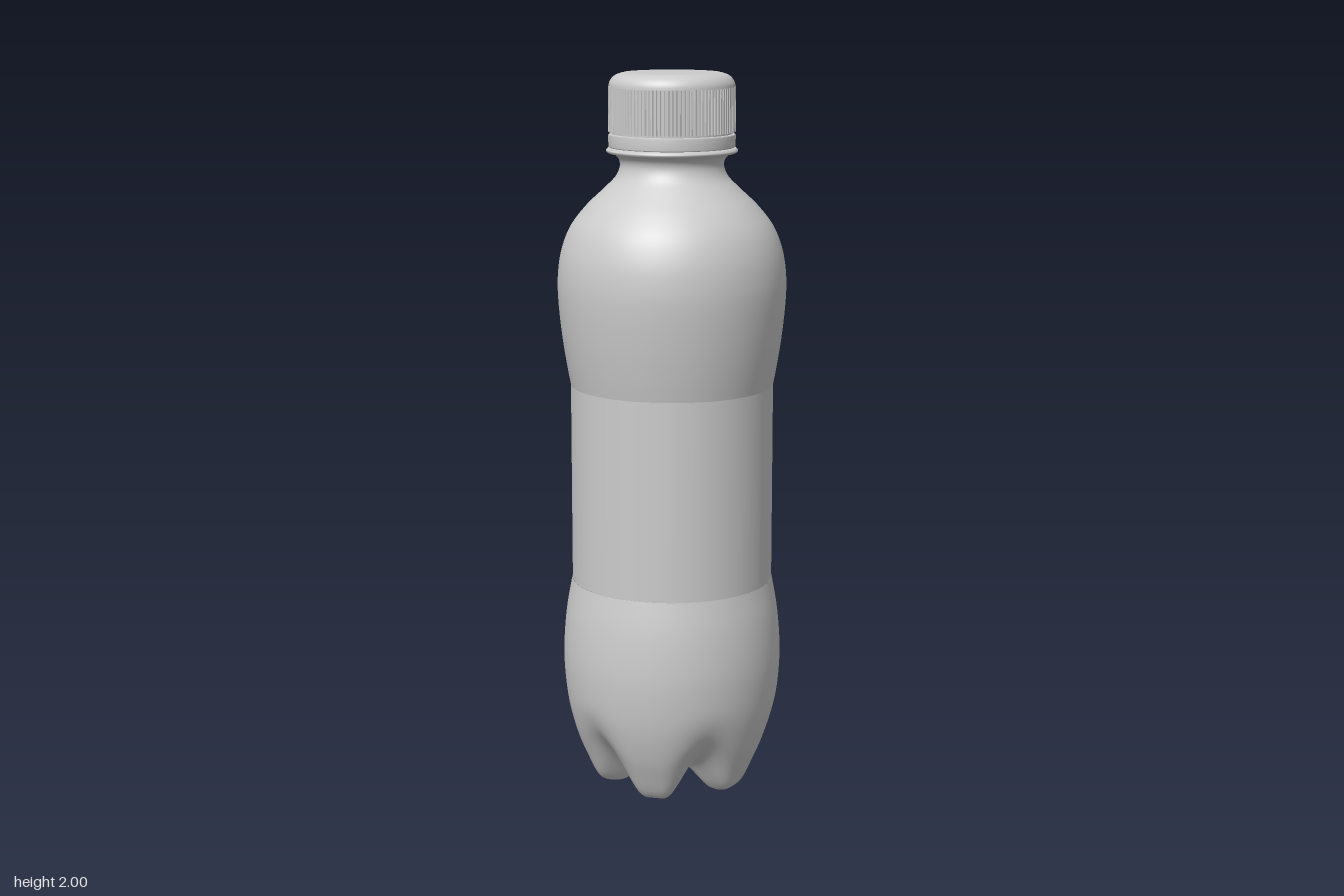
import * as THREE from 'three';
import { mergeVertices } from 'three/addons/utils/BufferGeometryUtils.js';

const SEGMENTS = 160;
const LOBES = 5;
const LOBE_TURN = THREE.MathUtils.degToRad(-5);

const material = new THREE.MeshStandardMaterial({ color: 0xcccccc, side: THREE.DoubleSide });

const points = (list) => list.map(([r, y]) => new THREE.Vector2(r, y));

// Smooth curve through [radius, height] pairs
function smooth(list, count) {
  return new THREE.SplineCurve(points(list)).getPoints(count)
    .map((p) => new THREE.Vector2(Math.max(p.x, 0), Math.max(p.y, 0)));
}

function part(name, geometry, group) {
  const mesh = new THREE.Mesh(geometry, material);
  mesh.name = name;
  group.add(mesh);
  return mesh;
}

// Five-footed base: blends a foot profile with a groove profile around the axis
function baseGeometry() {
  const rows = 54;
  const foot = smooth([
    [0, 0.06], [0.06, 0.05], [0.105, 0.022], [0.14, 0.002], [0.18, 0.002], [0.212, 0.02],
    [0.242, 0.08], [0.27, 0.15], [0.293, 0.24], [0.304, 0.34], [0.304, 0.42], [0.296, 0.51], [0.28, 0.6],
  ], rows);
  const groove = smooth([
    [0, 0.06], [0.05, 0.064], [0.095, 0.073], [0.135, 0.086], [0.175, 0.105], [0.212, 0.132],
    [0.247, 0.168], [0.276, 0.212], [0.296, 0.27], [0.304, 0.35], [0.304, 0.42], [0.296, 0.51], [0.28, 0.6],
  ], rows);
  let geometry = new THREE.LatheGeometry(foot, SEGMENTS);
  const pos = geometry.attributes.position;
  const step = (Math.PI * 2) / LOBES;
  for (let i = 0; i <= SEGMENTS; i++) {
    const angle = ((i % SEGMENTS) / SEGMENTS) * Math.PI * 2;
    const turn = (angle - LOBE_TURN) / step;
    const fromGroove = 1 - 2 * Math.abs(turn - Math.round(turn));
    const w = THREE.MathUtils.smoothstep(fromGroove, 0, 0.8);
    for (let j = 0; j <= rows; j++) {
      const p = groove[j].clone().lerp(foot[j], w);
      pos.setXYZ(i * (rows + 1) + j, p.x * Math.sin(angle), p.y, p.x * Math.cos(angle));
    }
  }
  // Weld the seam so the shading runs through
  geometry.deleteAttribute('uv');
  geometry.deleteAttribute('normal');
  geometry = mergeVertices(geometry, 1e-5);
  geometry.computeVertexNormals();
  return geometry;
}

// Grip ring with alternating ridges, extruded along the bottle axis
function gripGeometry(outer, depth, ridges, height) {
  const shape = new THREE.Shape();
  for (let i = 0; i < ridges; i++) {
    [[0, 0], [0.2, 1], [0.7, 1], [0.9, 0]].forEach(([t, up], k) => {
      const a = ((i + t) / ridges) * Math.PI * 2;
      const r = outer - depth * (1 - up);
      if (i + k === 0) shape.moveTo(r * Math.cos(a), r * Math.sin(a));
      else shape.lineTo(r * Math.cos(a), r * Math.sin(a));
    });
  }
  shape.closePath();
  const geometry = new THREE.ExtrudeGeometry(shape, { depth: height, bevelEnabled: false });
  geometry.rotateX(-Math.PI / 2);
  return geometry;
}

export function createModel() {
  const bottle = new THREE.Group();
  bottle.name = 'bottle';

  part('base', baseGeometry(), bottle);

  // Straight band around the waist
  part('labelBand', new THREE.LatheGeometry(
    points([[0.279, 0.6], [0.279, 1.15]]), SEGMENTS), bottle);

  // Bulging upper body, shoulder and neck
  part('shoulder', new THREE.LatheGeometry(smooth([
    [0.279, 1.15], [0.29, 1.21], [0.302, 1.29], [0.311, 1.38], [0.312, 1.45], [0.302, 1.52],
    [0.277, 1.585], [0.235, 1.64], [0.188, 1.685], [0.155, 1.718], [0.142, 1.745], [0.143, 1.765],
    [0.155, 1.78], [0.174, 1.787],
  ], 70), SEGMENTS), bottle);

  // Thin collar under the cap
  part('supportRing', new THREE.LatheGeometry(points([
    [0.14, 1.784], [0.174, 1.785], [0.178, 1.789], [0.178, 1.793], [0.172, 1.799], [0.14, 1.801],
  ]), SEGMENTS), bottle);

  const cap = new THREE.Group();
  cap.name = 'cap';
  bottle.add(cap);

  part('capCore', new THREE.CylinderGeometry(0.163, 0.163, 0.16, SEGMENTS, 1, true), cap)
    .position.y = 1.88;
  // Tamper band, flaring slightly downward
  part('tamperBand', new THREE.LatheGeometry(points([
    [0.15, 1.8], [0.17, 1.8], [0.172, 1.803], [0.172, 1.832], [0.169, 1.836], [0.15, 1.836],
  ]), SEGMENTS), cap);
  part('capGrip', gripGeometry(0.172, 0.003, 100, 0.12), cap).position.y = 1.841;
  // Rounded lid
  part('capTop', new THREE.LatheGeometry([
    ...smooth([[0.171, 1.96], [0.169, 1.972], [0.161, 1.985], [0.148, 1.994], [0.13, 1.999]], 16),
    ...points([[0.11, 2], [0, 2]]),
  ], SEGMENTS), cap);

  return bottle;
}
